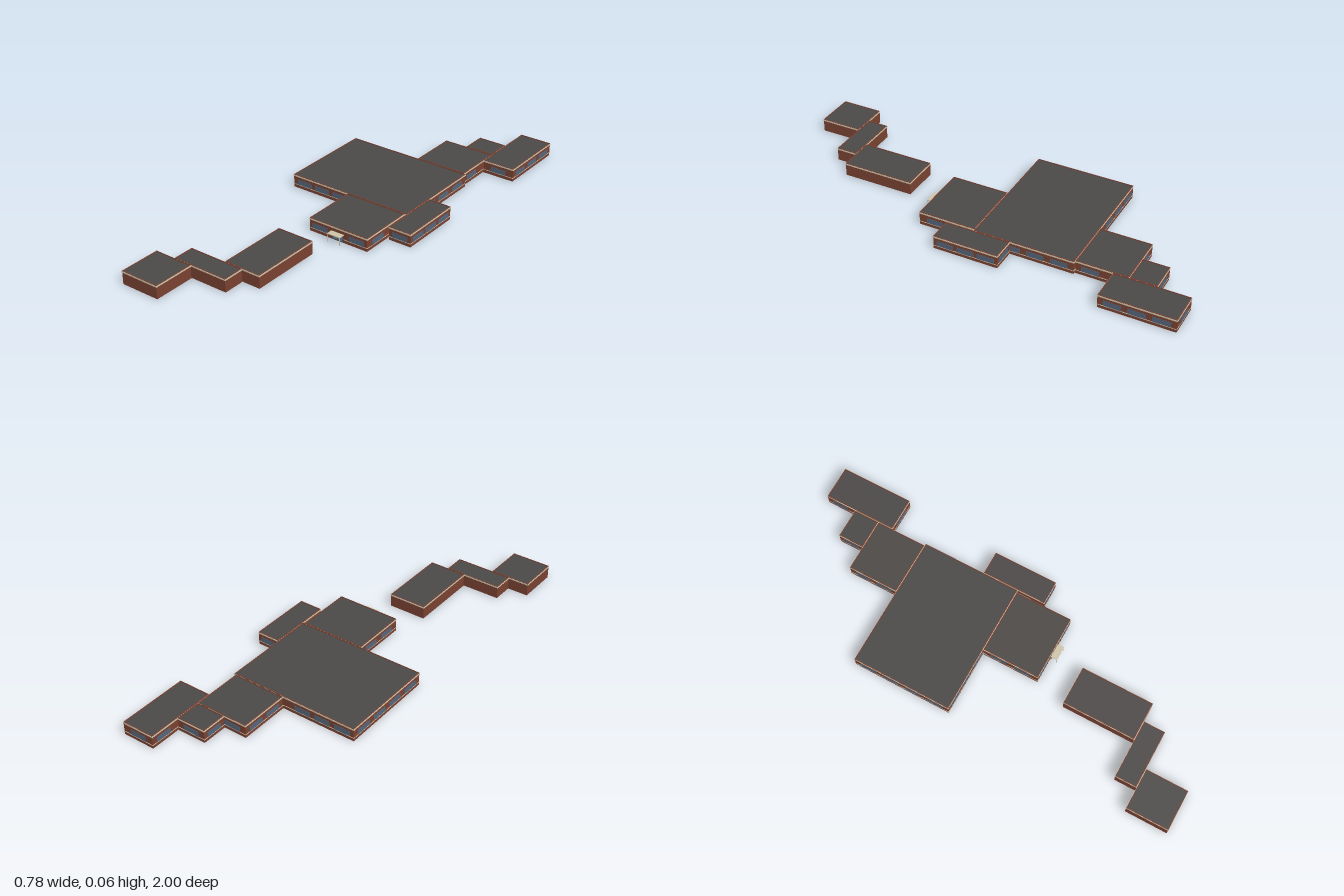
import * as THREE from 'three';

const material = (name, color) => {
  const m = new THREE.MeshStandardMaterial({ color });
  m.name = name;
  return m;
};

// Footprints: x0, x1, z0, z1, and whether the wing has windows
const WINGS = [
  { name: 'farBackWing', x0: 0.234, x1: 0.39, z0: -1, z1: -0.665, glazed: true },
  { name: 'backLink', x0: 0.095, x1: 0.234, z0: -0.855, z1: -0.735, glazed: true },
  { name: 'backWing', x0: -0.015, x1: 0.234, z0: -0.735, z1: -0.5, glazed: true },
  { name: 'mainHall', x0: -0.37, x1: 0.244, z0: -0.5, z1: -0.04, glazed: true },
  { name: 'sideWing', x0: 0.244, x1: 0.355, z0: -0.21, z1: 0.09, glazed: true },
  { name: 'entranceWing', x0: -0.068, x1: 0.234, z0: -0.04, z1: 0.226, glazed: true },
  { name: 'frontAnnexLarge', x0: -0.114, x1: 0.065, z0: 0.37, z1: 0.705, glazed: false },
  { name: 'frontAnnexLink', x0: -0.292, x1: -0.023, z0: 0.705, z1: 0.805, glazed: false },
  { name: 'frontAnnexEnd', x0: -0.39, x1: -0.202, z0: 0.805, z1: 1, glazed: false },
];
const INSET = 0.0015;
const WINDOW = { w: 0.078, y0: 0.0168, y1: 0.041 };

export function createModel() {
  const brick = material('brick', 0x7a4232);
  const trim = material('cream trim', 0xcfc3aa);
  const roofing = material('roofing', 0x4c4947);
  const glass = material('window glass', 0x56667a);
  const paleGlass = material('door glass', 0x6f8296);
  const frame = material('door frame', 0x3c434c);

  const model = new THREE.Group();
  model.name = 'lowBuilding';

  const box = (parent, name, mat, [w, h, d], [x, y, z]) => {
    const mesh = new THREE.Mesh(new THREE.BoxGeometry(w, h, d), mat);
    mesh.name = name;
    mesh.position.set(x, y, z);
    parent.add(mesh);
    return mesh;
  };

  // Rectangular ring following a footprint, open in the middle
  const ring = (parent, name, mat, f, inset, thick, y0, y1) => {
    const corners = (i) => [
      [f.x0 + i, -f.z1 + i], [f.x1 - i, -f.z1 + i],
      [f.x1 - i, -f.z0 - i], [f.x0 + i, -f.z0 - i],
    ].map(([x, y]) => new THREE.Vector2(x, y));
    const shape = new THREE.Shape(corners(inset));
    shape.holes.push(new THREE.Path(corners(inset + thick).reverse()));
    const geo = new THREE.ExtrudeGeometry(shape, { depth: y1 - y0, bevelEnabled: false });
    geo.rotateX(-Math.PI / 2).translate(0, y0, 0);
    const mesh = new THREE.Mesh(geo, mat);
    mesh.name = name;
    parent.add(mesh);
  };

  const covered = (x, z) =>
    WINGS.some((f) => x > f.x0 && x < f.x1 && z > f.z0 && z < f.z1);

  // Evenly spaced windows on every exposed wall
  const addWindows = (group, f) => {
    const { w, y0, y1 } = WINDOW;
    const cx = (f.x0 + f.x1) / 2, cz = (f.z0 + f.z1) / 2;
    for (const [nx, nz] of [[1, 0], [-1, 0], [0, 1], [0, -1]]) {
      const length = nx ? f.z1 - f.z0 : f.x1 - f.x0;
      const reach = (nx ? f.x1 - f.x0 : f.z1 - f.z0) / 2;
      const count = Math.floor(length / 0.095);
      const gap = (length - count * w) / (count + 1);
      for (let i = 0; i < count; i++) {
        const along = -length / 2 + gap + w / 2 + i * (w + gap);
        const x = cx + nx * reach + (nx ? 0 : along);
        const z = cz + nz * reach + (nx ? along : 0);
        const isDoor = f.name === 'entranceWing' && nz === 1 && i === 1;
        if (isDoor || covered(x + nx * 0.01, z + nz * 0.01)) continue;
        box(group, 'window', glass,
          nx ? [0.002, y1 - y0, w] : [w, y1 - y0, 0.002],
          [x - nx * INSET, (y0 + y1) / 2, z - nz * INSET]);
      }
    }
  };

  for (const f of WINGS) {
    const group = new THREE.Group();
    group.name = f.name;
    model.add(group);
    ring(group, 'walls', brick, f, INSET, 0.003, 0, 0.062);
    ring(group, 'fascia', trim, f, 0, 0.003, 0.0535, 0.0597);
    box(group, 'roof', roofing,
      [f.x1 - f.x0 - 0.006, 0.002, f.z1 - f.z0 - 0.006],
      [(f.x0 + f.x1) / 2, 0.058, (f.z0 + f.z1) / 2]);
    if (f.glazed) {
      ring(group, 'sill', trim, f, 0, 0.003, 0.0145, 0.0168);
      addWindows(group, f);
    }
  }

  // Entrance: double door under a small canopy on two posts
  const entrance = new THREE.Group();
  entrance.name = 'entrance';
  model.add(entrance);
  const doorX = 0.082, wallZ = 0.226;
  box(entrance, 'doorFrame', frame, [0.058, 0.032, 0.003], [doorX, 0.018, wallZ]);
  for (const side of [-1, 1]) {
    box(entrance, 'doorPane', paleGlass, [0.024, 0.024, 0.002], [doorX + side * 0.0135, 0.018, wallZ + 0.0015]);
    box(entrance, 'canopyPost', trim, [0.002, 0.037, 0.002], [doorX + side * 0.031, 0.0185, 0.254]);
  }
  box(entrance, 'canopy', trim, [0.066, 0.003, 0.03], [doorX, 0.0385, 0.241]);

  return model;
}
